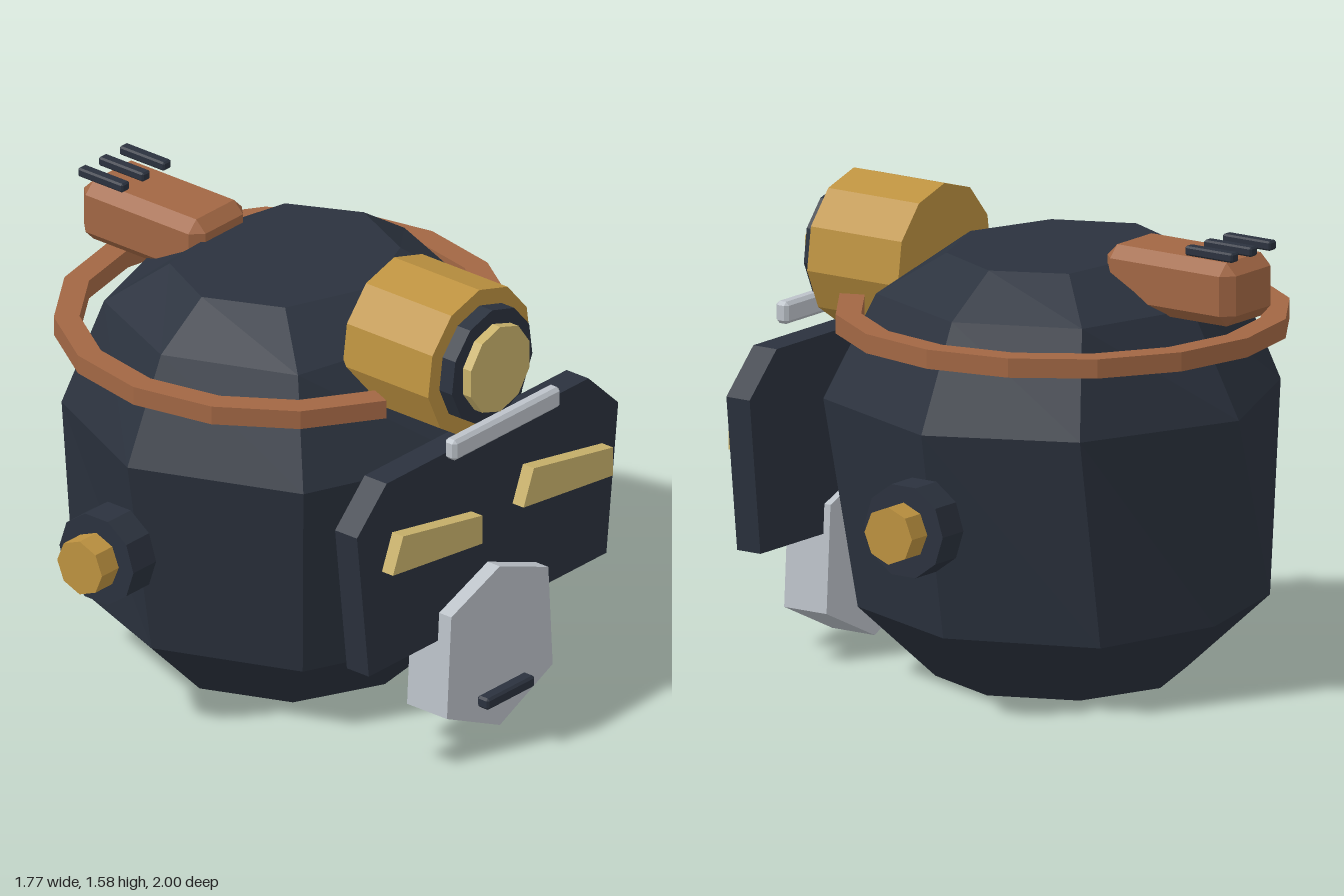
import * as THREE from 'three';
import { ConvexGeometry } from 'three/addons/geometries/ConvexGeometry.js';

const CX = -0.107; // centre of the helmet shell in x

function makeMaterial(name, color) {
  const m = new THREE.MeshStandardMaterial({ color });
  m.name = name;
  m.flatShading = true;
  return m;
}

// Box with every edge cut, given by its limits
function chamferBox(x0, x1, y0, y1, z0, z1, c) {
  const h = [(x1 - x0) / 2, (y1 - y0) / 2, (z1 - z0) / 2];
  const pts = [];
  for (const sx of [-1, 1]) for (const sy of [-1, 1]) for (const sz of [-1, 1]) {
    for (let full = 0; full < 3; full++) {
      const [a, b, d] = h.map((v, i) => (i === full ? v : v - c));
      pts.push(new THREE.Vector3(sx * a, sy * b, sz * d));
    }
  }
  return new ConvexGeometry(pts).translate((x0 + x1) / 2, (y0 + y1) / 2, (z0 + z1) / 2);
}

// Plate with a [z, y] outline, reaching from x0 to x1
function plate(outline, x0, x1) {
  const shape = new THREE.Shape(outline.map(([z, y]) => new THREE.Vector2(-z, y)));
  return new THREE.ExtrudeGeometry(shape, { depth: x1 - x0, bevelEnabled: false })
    .rotateY(Math.PI / 2).translate(x0, 0, 0);
}

// Cylinder along x with one corner pointing up
function drumX(r, x0, x1, y, sides) {
  return new THREE.CylinderGeometry(r, r, x1 - x0, sides, 1, false, Math.PI * 1.5)
    .rotateZ(-Math.PI / 2).translate((x0 + x1) / 2, y, 0);
}

// Eight-sided faceted shell from stacked cross-sections
function shellGeometry() {
  // y, back, back diagonal, front diagonal, front, half depth
  const rings = [
    [0, 0.398, 0.29, 0.30, 0.442, 0.42],
    [0.24, 0.62, 0.50, 0.49, 0.695, 0.663],
    [0.95, 0.719, 0.48, 0.567, 0.797, 0.785],
    [1.3, 0.53, 0.40, 0.44, 0.55, 0.615],
    [1.435, 0.28, 0.24, 0.26, 0.377, 0.41],
  ].map(([y, b, bd, fd, f, z]) => {
    const d = z * 0.71;
    return [[f, 0], [fd, d], [0, z], [-bd, d], [-b, 0], [-bd, -d], [0, -z], [fd, -d]]
      .map(([px, pz]) => [px + CX, y, pz]);
  });
  const pos = [];
  const tri = (...corners) => corners.forEach((p) => pos.push(...p));
  const n = 8;
  const bottom = rings[0];
  const top = rings[rings.length - 1];
  for (let i = 0; i < n; i++) {
    const j = (i + 1) % n;
    for (let k = 0; k < rings.length - 1; k++) {
      const lo = rings[k];
      const hi = rings[k + 1];
      tri(lo[i], hi[i], hi[j]);
      tri(lo[i], hi[j], lo[j]);
    }
    tri([CX, bottom[0][1], 0], bottom[i], bottom[j]);
    tri([CX, top[0][1], 0], top[j], top[i]);
  }
  const g = new THREE.BufferGeometry();
  g.setAttribute('position', new THREE.Float32BufferAttribute(pos, 3));
  g.computeVertexNormals();
  return g;
}

// Sixteen-sided band, open at the front
function bandGeometry() {
  const outer = [];
  const inner = [];
  for (let k = 1; k <= 15; k++) {
    const a = (k * Math.PI) / 8;
    outer.push(new THREE.Vector2(Math.cos(a) * 0.755, Math.sin(a) * 0.755));
    inner.unshift(new THREE.Vector2(Math.cos(a) * 0.67, Math.sin(a) * 0.67));
  }
  return new THREE.ExtrudeGeometry(new THREE.Shape([...outer, ...inner]), { depth: 0.065, bevelEnabled: false })
    .rotateX(-Math.PI / 2).translate(CX, 1.17, 0);
}

export function createModel() {
  const model = new THREE.Group();
  model.name = 'helmet';
  const navy = makeMaterial('dark navy', 0x2b323e);
  const brass = makeMaterial('brass', 0xbd9240);
  const paleGold = makeMaterial('pale gold', 0xcab36c);
  const copper = makeMaterial('copper', 0xa26744);
  const silver = makeMaterial('silver', 0xbcc2c9);

  function add(name, geometry, material) {
    const mesh = new THREE.Mesh(geometry, material);
    mesh.name = name;
    model.add(mesh);
  }

  // Shell and band
  add('shell', shellGeometry(), navy);
  add('band', bandGeometry(), copper);

  // Head lamp
  add('lampHousing', drumX(0.262, 0.375, 0.745, 1.32, 11), brass);
  add('lampBezel', drumX(0.205, 0.745, 0.8, 1.32, 11), navy);
  add('lampLens', drumX(0.155, 0.79, 0.835, 1.32, 10), paleGold);
  add('browBar', chamferBox(0.82, 0.87, 1.09, 1.165, -0.27, 0.27, 0.012), silver);

  // Face plate, muzzle and mouth
  add('facePlate', plate([[0.66, 0.93], [0.6, 0.4], [-0.6, 0.4], [-0.66, 0.93], [-0.51, 1.075], [0.51, 1.075]], 0.685, 0.78), navy);
  add('muzzle', plate([[0, 0.595], [0.245, 0.5], [0.267, 0.135], [0, 0.012], [-0.267, 0.135], [-0.245, 0.5]], 0.66, 0.833), silver);
  add('mouth', chamferBox(0.835, 0.885, 0.124, 0.166, -0.12, 0.12, 0.008), navy);

  // Slanted eyes, both leaning the same way
  for (const [name, z] of [['leftSlitEye', 0], ['rightSlitEye', -0.66]]) {
    add(name, plate([[0.503, 0.9], [0.555, 0.775], [0.103, 0.722], [0.103, 0.825]], 0.798, 0.846).translate(0, 0, z), paleGold);
  }

  // Side knobs
  for (const s of [1, -1]) {
    add('knobBase', new THREE.CylinderGeometry(0.16, 0.16, 0.115, 10, 1, false, Math.PI / 2)
      .rotateX(Math.PI / 2).translate(-0.13, 0.655, s * 0.857), navy);
    add('knobCap', new THREE.CylinderGeometry(0.097, 0.097, 0.085, 8)
      .rotateX(Math.PI / 2).translate(-0.13, 0.655, s * 0.957), brass);
  }

  // Rear box with three rods on top
  add('rearBox', chamferBox(-0.885, -0.36, 1.29, 1.505, -0.135, 0.135, 0.04), copper);
  for (const z of [-0.105, 0, 0.105]) {
    add('rearRod', chamferBox(-0.89, -0.695, 1.515, 1.547, z - 0.02, z + 0.02, 0.006), navy);
  }
  return model;
}
